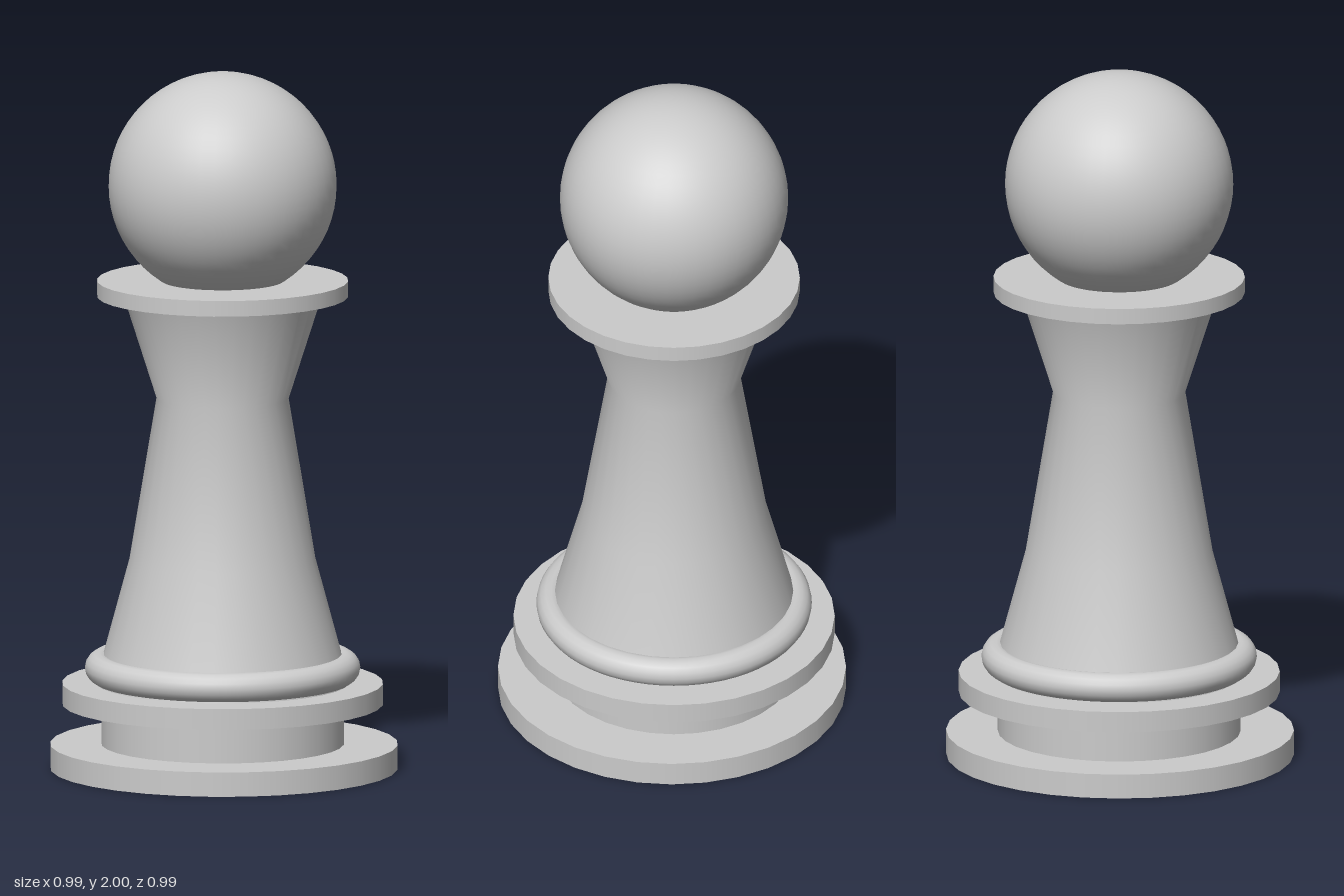
import * as THREE from 'three';

const SIDES = 32;
const material = new THREE.MeshStandardMaterial({ color: 0xcccccc });

export function createModel() {
  const model = new THREE.Group();
  model.name = 'chessPawn';

  const add = (name, geometry, y, x = -0.006) => {
    const mesh = new THREE.Mesh(geometry, material);
    mesh.name = name;
    mesh.position.set(x, y, 0);
    model.add(mesh);
    return mesh;
  };
  // Flat round slab between two heights
  const disc = (name, radius, y0, y1, x) =>
    add(name, new THREE.CylinderGeometry(radius, radius, y1 - y0, SIDES), (y0 + y1) / 2, x);

  // Stepped foot
  disc('basePlate', 0.494, 0, 0.07, 0);
  disc('baseNeck', 0.345, 0.07, 0.185);
  disc('upperPlate', 0.456, 0.185, 0.245);

  // Rounded ring around the bottom of the body
  const ring = new THREE.TorusGeometry(0.349, 0.042, 16, 64);
  ring.rotateX(Math.PI / 2);
  add('baseRing', ring, 0.289);

  // Tapering body with a narrow waist and flared top
  const profile = [[0.36, 0.24], [0.338, 0.33], [0.265, 0.6], [0.188, 1.065], [0.284, 1.365]]
    .map(([r, y]) => new THREE.Vector2(r, y));
  add('body', new THREE.LatheGeometry(profile, SIDES), 0);

  // Collar and head
  disc('collar', 0.357, 1.358, 1.403);
  add('head', new THREE.SphereGeometry(0.324, 48, 32), 1.676);

  return model;
}
